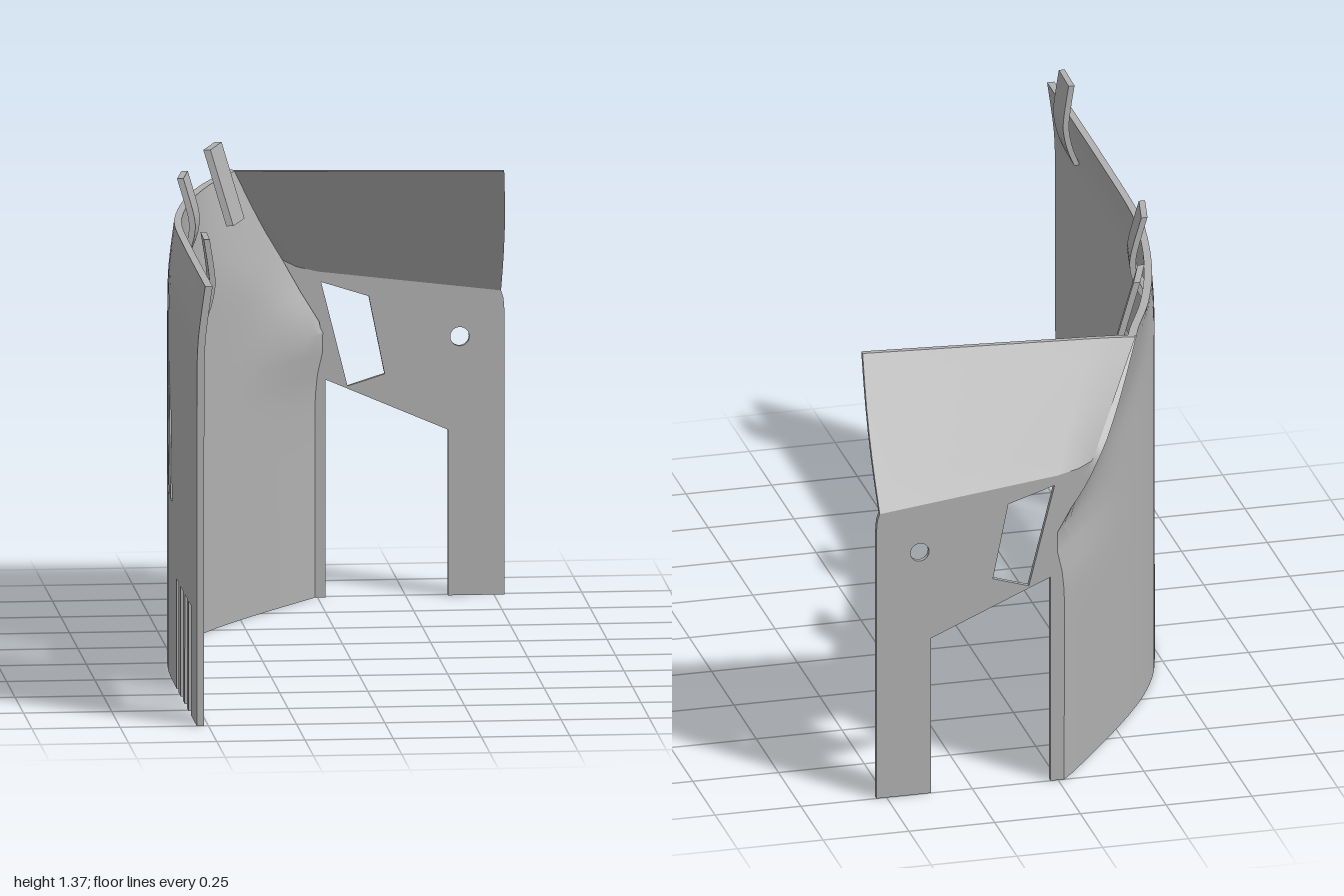
import * as THREE from 'three';
import { toCreasedNormals } from 'three/addons/utils/BufferGeometryUtils.js';

const grey = new THREE.MeshStandardMaterial({ color: 0xb0b0b0 });
grey.name = 'plain grey';

// Smooth curve through [position, value] pairs, positions descending
function curve(points) {
  const slope = (i) => {
    const a = points[Math.max(0, i - 1)], b = points[Math.min(points.length - 1, i + 1)];
    return (b[1] - a[1]) / (b[0] - a[0]);
  };
  return (p) => {
    let i = 0;
    while (i < points.length - 2 && p < points[i + 1][0]) i++;
    const [p0, v0] = points[i], [p1, v1] = points[i + 1], d = p1 - p0;
    const t = THREE.MathUtils.clamp((p - p0) / d, 0, 1), t2 = t * t, t3 = t2 * t;
    return v0 * (2 * t3 - 3 * t2 + 1) + v1 * (3 * t2 - 2 * t3) +
      d * (slope(i) * (t3 - 2 * t2 + t) + slope(i + 1) * (t3 - t2));
  };
}

// Closed sheet between two grids of points, leaving out the cells that are cut away
function sheet(name, columns, rows, inner, outer, isCut = () => false) {
  const pos = [];
  const quad = (a, b, c, d) => [a, b, c, a, c, d].forEach((p) => pos.push(...p));
  const solid = (i, j) => i >= 0 && j >= 0 && i < columns - 1 && j < rows - 1 && !isCut(i, j);
  for (let i = 0; i < columns - 1; i++) {
    for (let j = 0; j < rows - 1; j++) {
      if (!solid(i, j)) continue;
      const corners = [[i, j], [i + 1, j], [i + 1, j + 1], [i, j + 1]];
      const A = corners.map((c) => inner(...c)), B = corners.map((c) => outer(...c));
      quad(A[0], A[1], A[2], A[3]);
      quad(B[0], B[3], B[2], B[1]);
      [[0, -1], [1, 0], [0, 1], [-1, 0]].forEach(([di, dj], k) => {
        const n = (k + 1) % 4;
        if (!solid(i + di, j + dj)) quad(B[k], B[n], A[n], A[k]);
      });
    }
  }
  const geo = new THREE.BufferGeometry();
  geo.setAttribute('position', new THREE.Float32BufferAttribute(pos, 3));
  const mesh = new THREE.Mesh(toCreasedNormals(geo, 0.5), grey);
  mesh.name = name;
  return mesh;
}

// Plan of the wall at the floor and at the rim, and the height where it starts to lean
const floorX = curve([[1, -.512], [.3, -.512], [.1, -.507], [-.1, -.488], [-.3, -.44],
  [-.45, -.375], [-.6, -.285], [-.8, -.145], [-1, .005]]);
const rimX = curve([[1, -.488], [.3, -.487], [0, -.48], [-.2, -.452], [-.4, -.407],
  [-.6, -.342], [-.82, -.25], [-1, -.22]]);
const bendY = curve([[1, 1.1], [.5, 1.14], [0, 1.13], [-.4, 1.06], [-.7, .94], [-1, .74]]);
const TOP = 1.26;

function wallX(z, y) {
  const soft = (d) => (d + Math.hypot(d, .05)) / 2;
  const lean = soft(y - bendY(z)) / soft(TOP - bendY(z));
  const bulge = .035 * Math.exp(-(((y - .76) / .1) ** 2)) * THREE.MathUtils.smoothstep(-z, .6, 1);
  return THREE.MathUtils.lerp(floorX(z), rimX(z), lean) + bulge;
}

function sideWall() {
  const slots = [.83, .71, .595, .47], slits = [.265, .145, .025];
  const zs = [1, .92, .83, .76, .71, .65, .595, .53, .47, .41, .34,
    .265, .215, .145, .095, .025, -.02];
  for (let k = 0; k <= 21; k++) zs.push(-.15 - .85 * k / 21);
  const ys = [0, .16, .315, .42, .51, .58, .64, .7, .76, .83];
  for (let k = 1; k <= 14; k++) ys.push(.83 + (TOP - .83) * k / 14);
  const place = (i, j) => {
    let z = zs[i];
    const y = ys[j];
    // slanted columns along the slits
    if (z < .3 && z > -.1) z -= .055 * THREE.MathUtils.clamp((y - .51) / .32, 0, 1);
    // the rear edge slopes forward near the rim
    const end = -1 + .18 * Math.max(0, (y - .97) / (TOP - .97));
    if (z < -.5) z = -.5 + (z + .5) / -.5 * (end + .5);
    return [z, y];
  };
  const inner = (i, j) => {
    const [z, y] = place(i, j);
    return [wallX(z, y), y, z];
  };
  const outer = (i, j) => {
    const [z, y] = place(i, j);
    const s = (floorX(Math.min(1, z + .02)) - floorX(Math.max(-1, z - .02))) / .04;
    return [wallX(z, y) - .021 * Math.hypot(1, s), y, z];
  };
  const isCut = (i, j) => (ys[j] < .3 && slots.includes(zs[i])) ||
    (ys[j] > .5 && ys[j] < .82 && slits.includes(zs[i]));
  return sheet('sideWall', zs.length, ys.length, inner, outer, isCut);
}

// Upright end plate with its leg, narrow flange and two openings
function endPlate() {
  const v = (list) => list.map(([x, y]) => new THREE.Vector2(x, y));
  const shape = new THREE.Shape(v([[-.01, 0], [.022, 0], [.022, .625], [.37, .475], [.37, 0],
    [.53, 0], [.53, .81], [.527, .85], [.52, .872], [0, .935], [-.06, .95], [-.1, .97],
    [-.05, .88], [.005, .79], [.013, .74], [.008, .69], [-.01, .62]]));
  shape.holes.push(new THREE.Path(v([[.01, .905], [.085, .605], [.19, .638], [.145, .862]])));
  shape.holes.push(new THREE.Path().absarc(.403, .742, .027, 0, Math.PI * 2, true));
  const geo = new THREE.ExtrudeGeometry(shape, { depth: .015, bevelEnabled: false, curveSegments: 20 });
  geo.translate(0, 0, -1);
  const mesh = new THREE.Mesh(geo, grey);
  mesh.name = 'endPlate';
  return mesh;
}

// Upper panel leaning forward from the end plate
function leaningPanel() {
  const low = [[-.1, .97], [-.06, .95], [0, .935], [.52, .872]];
  const high = [[-.27, -.813], [-.21, -.802], [-.14, -.794], [.505, -.735]];
  const rows = 7;
  const point = (back) => (i, j) => {
    const t = j / (rows - 1);
    const bow = i === 3 ? .006 * Math.sin(Math.PI * t) : 0;
    return [THREE.MathUtils.lerp(low[i][0], high[i][0], t) + bow,
      THREE.MathUtils.lerp(low[i][1], TOP, t),
      THREE.MathUtils.lerp(-.985, high[i][1], t) - back];
  };
  return sheet('leaningPanel', 4, rows, point(0), point(.016));
}

// Tab standing above the rim, following the direction of the wall
function rimTab(name, z, slope, thickness, profile) {
  const path = new THREE.SplineCurve(profile.map(([x, y]) => new THREE.Vector2(x, y)));
  const rows = profile.length > 2 ? 13 : 2;
  const point = (side) => (i, j) => {
    const p = path.getPoint(j / (rows - 1)), dz = i ? -.06 : .06;
    return [p.x + slope * dz + side * thickness / 2, p.y, z + dz];
  };
  return sheet(name, 2, rows, point(1), point(-1));
}

export function createModel() {
  const group = new THREE.Group();
  group.name = 'curvedGuard';
  group.add(
    sideWall(), endPlate(), leaningPanel(),
    rimTab('frontTab', .78, -.02, .017,
      [[-.504, 1.12], [-.484, 1.17], [-.472, 1.23], [-.475, 1.28], [-.488, 1.365]]),
    rimTab('middleTab', -.185, -.2, .018,
      [[-.463, 1.115], [-.44, 1.16], [-.427, 1.21], [-.43, 1.26], [-.46, 1.365]]),
    rimTab('rearTab', -.63, -.36, .02, [[-.267, 1.145], [-.332, 1.365]]),
  );
  return group;
}
